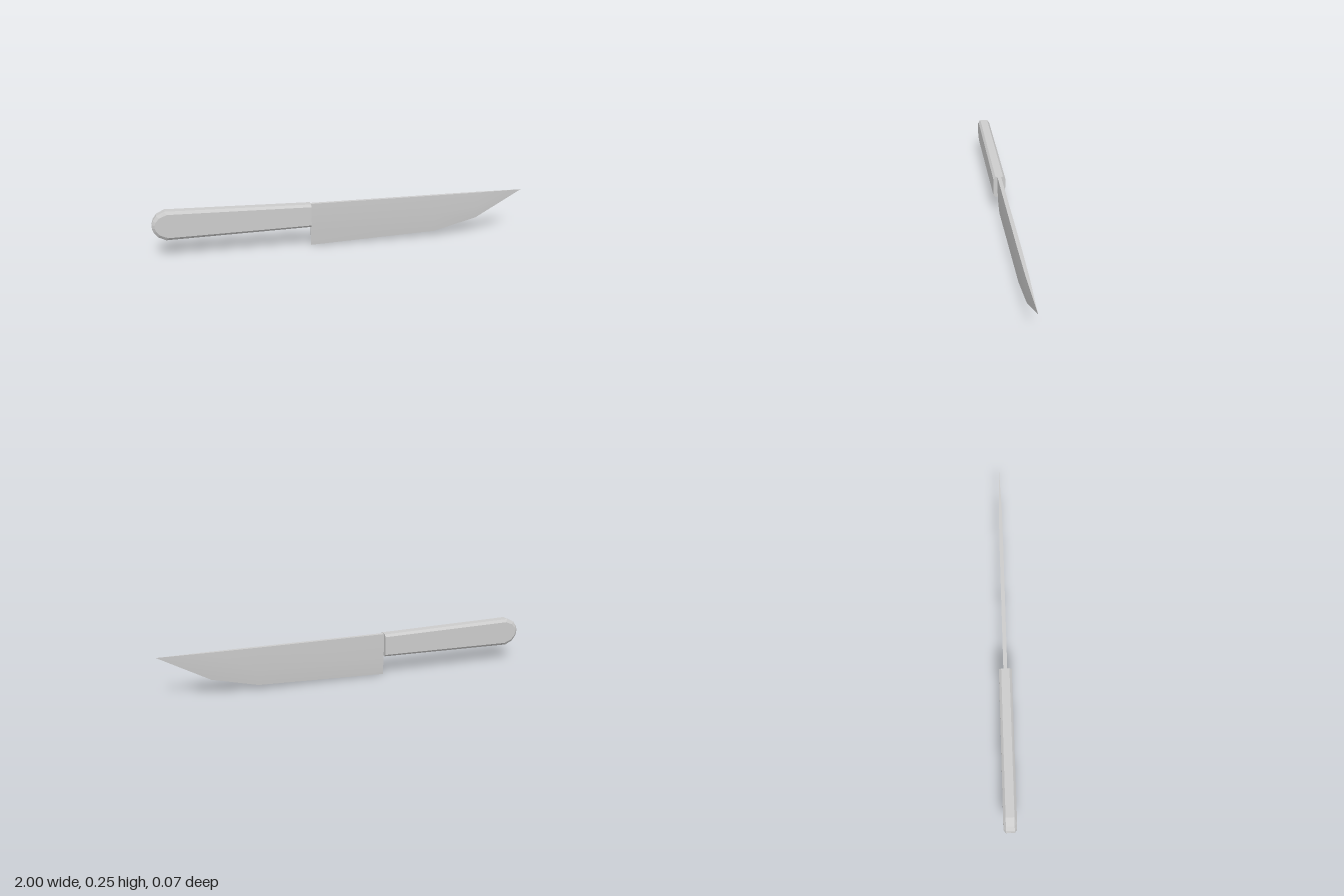
import * as THREE from 'three';
import { ConvexGeometry } from 'three/addons/geometries/ConvexGeometry.js';
import { toCreasedNormals } from 'three/addons/utils/BufferGeometryUtils.js';

const grey = new THREE.MeshStandardMaterial({ color: 0xcccccc });

// Handle: tapering outline with a rounded butt, chamfered towards both side faces
function handleGeometry() {
  const midY = 0.171, endX = -0.19;
  const upper = [[endX, 0.062], [-0.935, 0.076], [-0.975, 0.056], [-0.994, 0.03], [-1, 0.01]];
  const points = [];
  for (const [x, h] of upper) {
    for (const sy of [1, -1]) {
      for (const sz of [1, -1]) {
        points.push(new THREE.Vector3(x, midY + sy * h, sz * 0.021));
        points.push(new THREE.Vector3(endX + (x - endX) * 0.982, midY + sy * h * 0.81, sz * 0.033));
      }
    }
  }
  return new ConvexGeometry(points);
}

// Blade: wedge cross-sections lofted from the heel to the point
function bladeGeometry() {
  const spineY = 0.232;
  // x, height of the cutting edge, half thickness of the spine
  const stations = [[-0.19, 0, 0.01], [0.5, 0.025, 0.01], [0.74, 0.085, 0.008], [1, spineY, 0]];
  // height fraction from edge to spine, thickness fraction
  const section = [[0, 0], [0.42, 0.88], [1, 1], [1, -1], [0.42, -0.88]];
  const n = section.length;
  const positions = [], index = [];
  for (const [x, edgeY, half] of stations) {
    for (const [v, t] of section) positions.push(x, edgeY + (spineY - edgeY) * v, half * t);
  }
  for (let i = 0; i < stations.length - 1; i++) {
    for (let j = 0; j < n; j++) {
      const a = i * n + j, b = i * n + (j + 1) % n;
      index.push(a, a + n, b);
      if (i < stations.length - 2) index.push(b, a + n, b + n);
    }
  }
  // flat heel
  for (let j = 1; j < n - 1; j++) index.push(0, j, j + 1);
  const geometry = new THREE.BufferGeometry();
  geometry.setAttribute('position', new THREE.Float32BufferAttribute(positions, 3));
  geometry.setIndex(index);
  return toCreasedNormals(geometry, 0.5);
}

export function createModel() {
  const knife = new THREE.Group();
  knife.name = 'knife';
  const handle = new THREE.Mesh(handleGeometry(), grey);
  handle.name = 'handle';
  const blade = new THREE.Mesh(bladeGeometry(), grey);
  blade.name = 'blade';
  knife.add(handle, blade);
  return knife;
}
